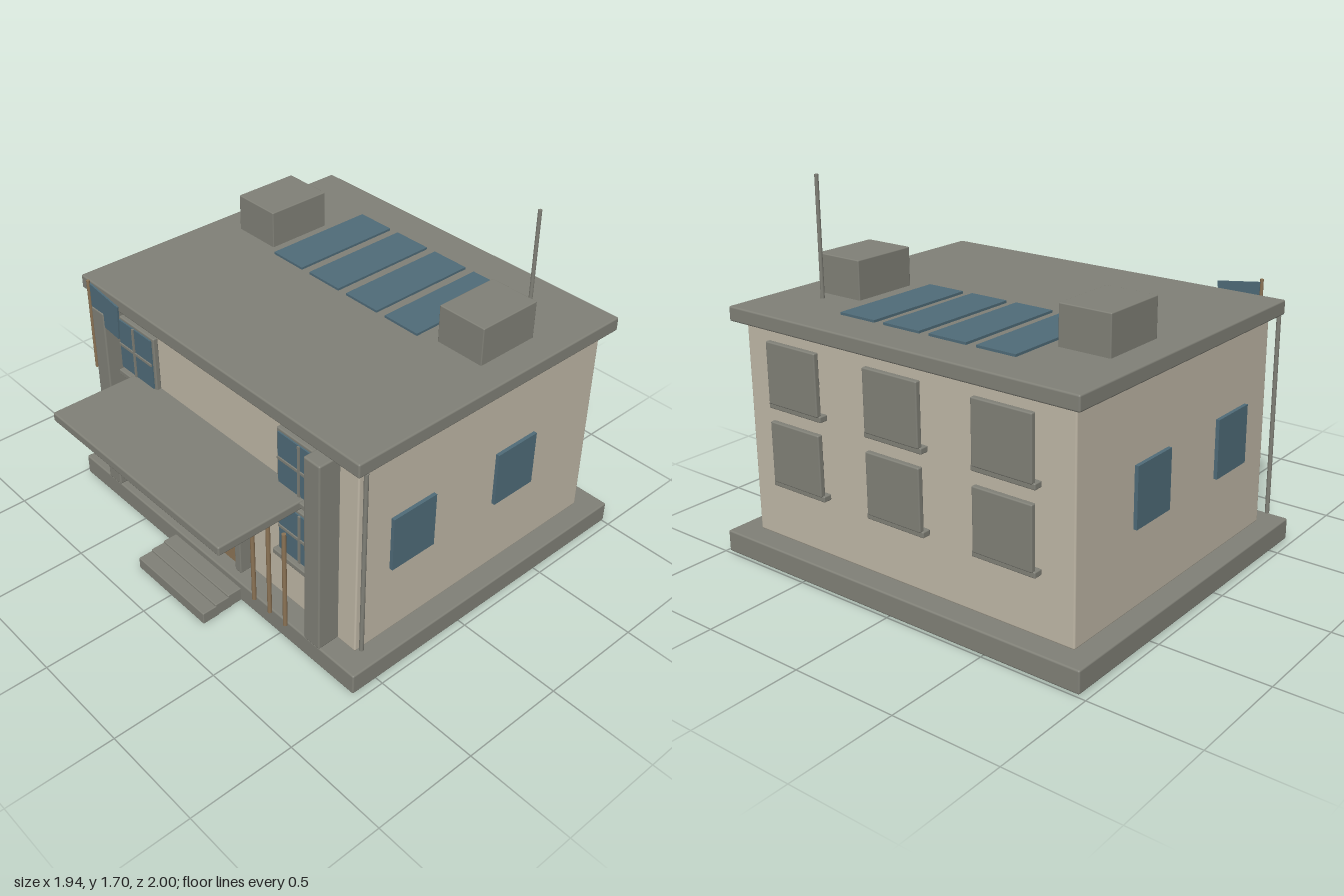
import * as THREE from 'three';
import { RoundedBoxGeometry } from 'three/addons/geometries/RoundedBoxGeometry.js';

const material = (name, color) => {
  const m = new THREE.MeshStandardMaterial({ color });
  m.name = name;
  return m;
};

export function createModel() {
  const house = new THREE.Group();
  house.name = 'house';
  const stone = material('grey stone', 0x808077);
  const plaster = material('beige plaster', 0xbfb7a6);
  const glass = material('blue glass', 0x4f6b78);
  const wood = material('brown wood', 0x8b7355);

  const add = (parent, name, geometry, mat) => {
    const mesh = new THREE.Mesh(geometry, mat);
    mesh.name = name;
    parent.add(mesh);
    return mesh;
  };
  // Box given by its limits on each axis, with an optional soft edge
  const block = (parent, name, mat, [x0, x1], [y0, y1], [z0, z1], bevel = 0) => {
    const size = [x1 - x0, y1 - y0, z1 - z0];
    const geometry = bevel ? new RoundedBoxGeometry(...size, 2, bevel) : new THREE.BoxGeometry(...size);
    const mesh = add(parent, name, geometry, mat);
    mesh.position.set((x0 + x1) / 2, (y0 + y1) / 2, (z0 + z1) / 2);
    return mesh;
  };
  // Upright round pole
  const pole = (name, mat, x, z, y0, y1, r) => {
    const mesh = add(house, name, new THREE.CylinderGeometry(r, r, y1 - y0, 10), mat);
    mesh.position.set(x, (y0 + y1) / 2, z);
  };

  // Main body
  block(house, 'foundation', stone, [-0.97, 0.97], [0.01, 0.112], [-1, 0.64], 0.008);
  block(house, 'walls', plaster, [-0.87, 0.87], [0.11, 1.095], [-0.892, 0.538], 0.008);
  block(house, 'roofSlab', stone, [-0.92, 0.92], [1.09, 1.157], [-0.945, 0.587], 0.008);

  // Roof equipment
  for (const s of [-1, 1]) {
    block(house, 'roofUnit', stone, [s * 0.655 - 0.123, s * 0.655 + 0.123], [1.15, 1.335], [-0.548, -0.225], 0.005);
  }
  for (let i = 0; i < 4; i++) {
    const x = -0.385 + i * 0.245;
    block(house, 'solarPanel', glass, [x - 0.097, x + 0.097], [1.155, 1.168], [-0.748, -0.188]);
  }
  pole('antenna', stone, 0.69, -0.615, 1.15, 1.7, 0.009);

  // Windows: front ones show glass and bars, back ones a solid outer panel
  const addWindow = (x, y, z, isFront) => {
    const w = new THREE.Group();
    w.name = isFront ? 'frontWindow' : 'backWindow';
    w.position.set(x, y, z);
    block(w, 'windowFrame', stone, [-0.145, 0.145], [-0.14, 0.14], [0, 0.026], 0.006);
    block(w, 'windowGlass', glass, [-0.13, 0.13], [-0.127, 0.127], [0.026, 0.033]);
    block(w, 'verticalBar', stone, [-0.006, 0.006], [-0.127, 0.127], [0.03, 0.039]);
    block(w, 'horizontalBar', stone, [-0.13, 0.13], [-0.006, 0.006], [0.03, 0.039]);
    const sillZ = isFront ? [0, 0.052] : [0.008, 0.05];
    block(w, 'windowSill', stone, [-0.155, 0.155], [-0.163, -0.136], sillZ, 0.005);
    house.add(w);
  };
  for (const y of [0.54, 0.9]) {
    for (const x of [-0.56, 0.56]) addWindow(x, y, 0.536, true);
    for (const x of [-0.56, 0, 0.56]) addWindow(x, y, -0.941, false);
  }

  for (const s of [-1, 1]) {
    // Side windows
    for (const z of [0.232, -0.385]) {
      block(house, 'sideWindow', glass, [s * 0.878 - 0.009, s * 0.878 + 0.009], [0.465, 0.735], [z - 0.121, z + 0.121]);
    }
    // Front pillars and corner downpipes
    block(house, 'pillar', stone, [s * 0.718 - 0.047, s * 0.718 + 0.047], [0.112, 1.085], [0.53, 0.645], 0.008);
    pole('downpipe', stone, s * 0.914, 0.543, 0.16, 1.092, 0.01);
  }

  // Entrance
  block(house, 'canopy', stone, [-0.583, 0.583], [0.725, 0.77], [0.53, 1], 0.008);
  for (const s of [-1, 1]) {
    block(house, 'doorJamb', stone, [s * 0.175 - 0.02, s * 0.175 + 0.02], [0.112, 0.725], [0.53, 0.6], 0.005);
  }
  block(house, 'doorLintel', stone, [-0.195, 0.195], [0.693, 0.726], [0.53, 0.598], 0.005);
  block(house, 'door', wood, [-0.157, 0.157], [0.112, 0.695], [0.53, 0.57]);
  block(house, 'doorHandle', stone, [0.093, 0.107], [0.415, 0.46], [0.57, 0.59], 0.004);

  // Steps, each lower and further out
  for (let i = 0; i < 3; i++) {
    block(house, 'step', stone, [-0.24, 0.24], [0.01 - i * 0.005, 0.08 - i * 0.01], [0.62 + i * 0.07, 0.71 + i * 0.07], 0.005);
  }
  block(house, 'stepFooting', stone, [-0.23, 0.23], [0, 0.03], [0.63, 0.84]);

  // Wooden stakes beside the entrance
  for (const x of [0.355, 0.46, 0.562]) pole('stake', wood, x, 0.655, 0.112, 0.625, 0.01);

  // Flag hung slightly askew on its staff
  pole('flagStaff', wood, -0.772, 0.642, 0.755, 1.213, 0.008);
  const cloth = new THREE.Shape([
    new THREE.Vector2(-0.768, 1.2), new THREE.Vector2(-0.765, 1.025),
    new THREE.Vector2(-0.567, 1.003), new THREE.Vector2(-0.555, 1.172),
  ]);
  const flag = add(house, 'flag', new THREE.ExtrudeGeometry(cloth, { depth: 0.008, bevelEnabled: false }), glass);
  flag.position.z = 0.633;

  return house;
}
